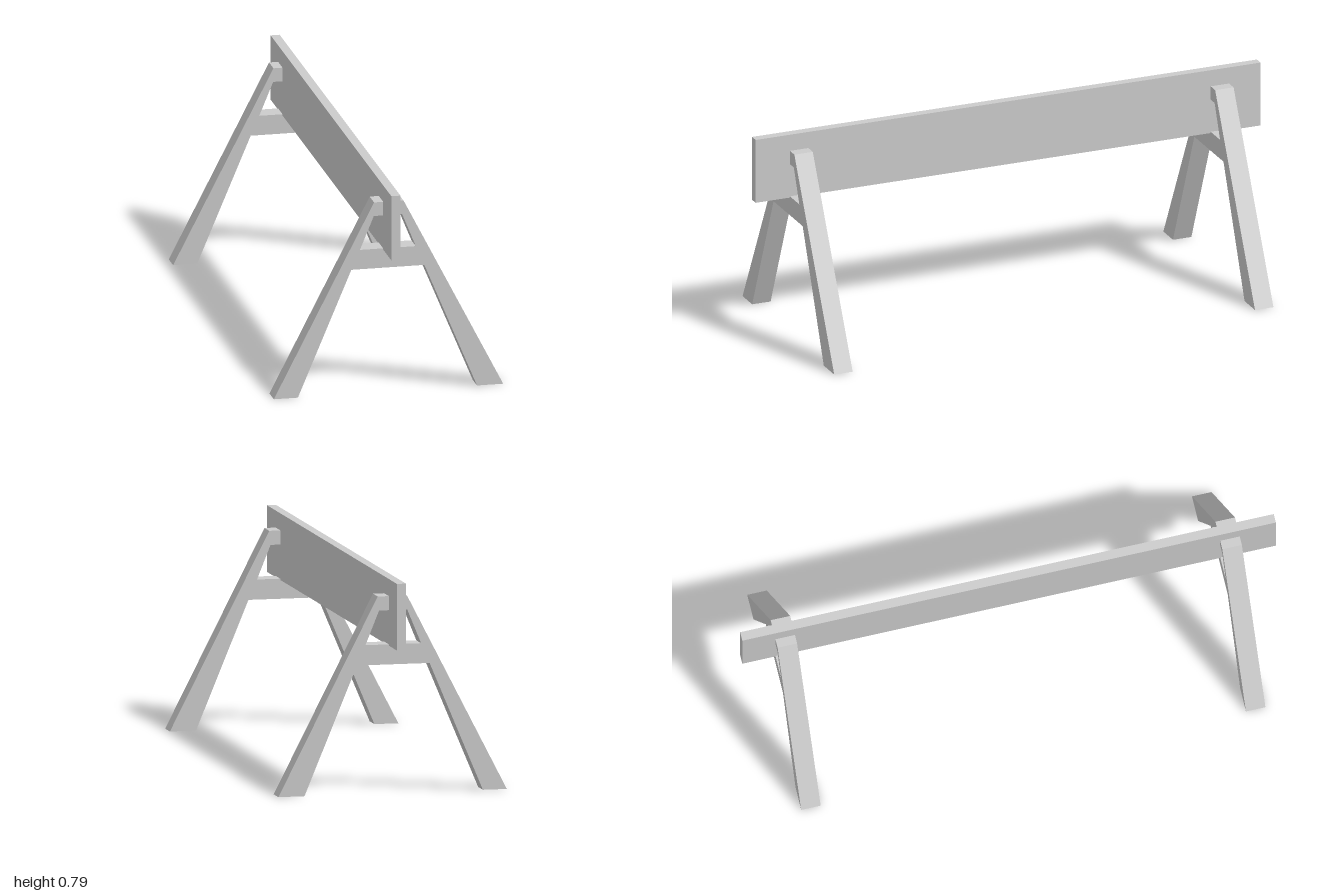
import * as THREE from 'three';

const material = new THREE.MeshStandardMaterial({ color: 0xcccccc, flatShading: true });
const points = (list) => list.map(([x, y]) => new THREE.Vector2(x, y));

// A-shaped trestle: splayed legs, crossbar and top bar in one piece
function makeTrestle(name, z) {
  const depth = 0.073;
  const shape = new THREE.Shape(points([
    [-0.43, 0], [-0.34, 0], [-0.14, 0.475], [0.133, 0.475],
    [0.33, 0], [0.428, 0], [0.055, 0.727], [-0.055, 0.727],
  ]));
  // opening between the crossbar and the top bar
  shape.holes.push(new THREE.Path(points([
    [-0.108, 0.549], [-0.056, 0.675], [0.05, 0.675], [0.101, 0.549],
  ])));
  const geometry = new THREE.ExtrudeGeometry(shape, { depth, bevelEnabled: false });
  geometry.translate(0, 0, -depth / 2);
  const trestle = new THREE.Mesh(geometry, material);
  trestle.name = name;
  trestle.position.z = z;
  return trestle;
}

export function createModel() {
  const model = new THREE.Group();
  model.name = 'barrier';

  // upright board slotted through both trestles
  const board = new THREE.Mesh(new THREE.BoxGeometry(0.034, 0.246, 2), material);
  board.name = 'board';
  board.position.set(-0.004, 0.667, 0);

  model.add(board, makeTrestle('frontTrestle', 0.828), makeTrestle('backTrestle', -0.839));
  return model;
}
